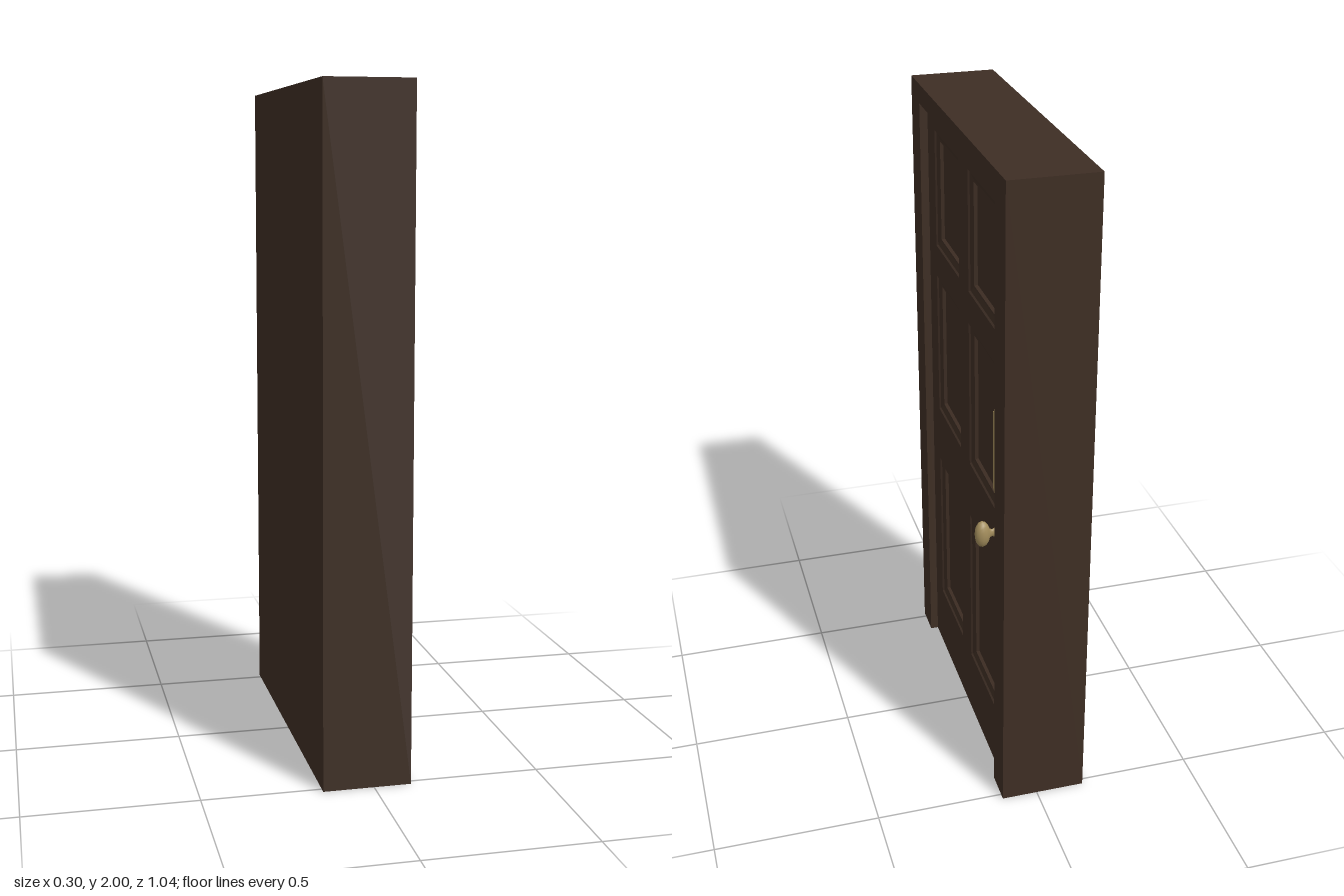
import * as THREE from 'three';

// Local frame while building: u across the door, v up, d outwards. The whole group then turns to face +x.
const FRONT = 0.11, BACK = -0.15, LEAF = 0.085;

const rect = (u0, v0, u1, v1, d) => [[u0, v0, d], [u1, v0, d], [u1, v1, d], [u0, v1, d]];

// Flat-shaded geometry from four-cornered faces
function quads(list) {
  const pos = [];
  for (const [a, b, c, d] of list) pos.push(...a, ...b, ...c, ...a, ...c, ...d);
  const g = new THREE.BufferGeometry();
  g.setAttribute('position', new THREE.Float32BufferAttribute(pos, 3));
  g.computeVertexNormals();
  return g;
}

// Band of faces between two rectangles; skipBottom leaves the lower side open
function band(outer, inner, skipBottom = false) {
  const out = [];
  for (let i = skipBottom ? 1 : 0; i < 4; i++) {
    const j = (i + 1) % 4;
    out.push([outer[i], outer[j], inner[j], inner[i]]);
  }
  return out;
}

const path = (points, Type = THREE.Path) => new Type(points.map(p => new THREE.Vector2(p[0], p[1])));

export function createModel() {
  const wood = new THREE.MeshStandardMaterial({ color: 0x3e2e24, side: THREE.DoubleSide });
  wood.name = 'dark brown wood';
  const brass = new THREE.MeshStandardMaterial({ color: 0xa38d5c, side: THREE.DoubleSide });
  brass.name = 'brass';

  const door = new THREE.Group();
  door.name = 'door';
  const add = (name, geometry, material) => {
    const mesh = new THREE.Mesh(geometry, material);
    mesh.name = name;
    door.add(mesh);
    return mesh;
  };

  // Hollow casing: two sides, top and back, open underneath
  const back = rect(-0.52, 0, 0.52, 2, BACK);
  add('casing', quads([
    ...band(back, rect(-0.52, 0, 0.52, 2, FRONT), true),
    [back[1], back[0], back[3], back[2]],
  ]), wood);

  // Frame face around the opening
  const frame = path([[-0.52, 0], [-0.42, 0], [-0.42, 1.94], [0.42, 1.94],
    [0.42, 0], [0.52, 0], [0.52, 2], [-0.52, 2]], THREE.Shape);
  add('frameFace', new THREE.ShapeGeometry(frame), wood).position.z = FRONT;

  // Walls of the opening, stepping back to the leaf
  add('frameReveal', quads(band(
    rect(-0.42, 0, 0.42, 1.94, FRONT), rect(-0.42, 0, 0.42, 1.94, LEAF), true)), wood);

  // Leaf with six openings, each filled by a stepped moulding and a sunken field
  const leaf = path(rect(-0.42, 0, 0.42, 1.94), THREE.Shape);
  const profile = [[0, 0], [0.004, -0.005], [0.022, -0.01], [0.028, -0.01], [0.031, -0.02]];
  const rows = [[0.217, 0.752], [0.94, 1.41], [1.512, 1.88]];
  for (const [v0, v1] of rows) {
    for (const u0 of [-0.334, 0.053]) {
      const u1 = u0 + 0.28;
      leaf.holes.push(path(rect(u0, v0, u1, v1)));
      const rings = profile.map(([inset, d]) =>
        rect(u0 + inset, v0 + inset, u1 - inset, v1 - inset, LEAF + d));
      const faces = [rings[rings.length - 1]];
      for (let i = 1; i < rings.length; i++) faces.push(...band(rings[i - 1], rings[i]));
      add('panel', quads(faces), wood);
    }
  }
  add('leaf', new THREE.ShapeGeometry(leaf), wood).position.z = LEAF;

  // Push plate with scooped corners
  const w = 0.035, h = 0.135, r = 0.01;
  const plate = new THREE.Shape();
  plate.moveTo(-w + r, -h);
  plate.lineTo(w - r, -h);
  plate.absarc(w, -h, r, Math.PI, Math.PI / 2, true);
  plate.lineTo(w, h - r);
  plate.absarc(w, h, r, -Math.PI / 2, -Math.PI, true);
  plate.lineTo(-w + r, h);
  plate.absarc(-w, h, r, 0, -Math.PI / 2, true);
  plate.lineTo(-w, -h + r);
  plate.absarc(-w, -h, r, Math.PI / 2, 0, true);
  const plateGeometry = new THREE.ExtrudeGeometry(plate, { depth: 0.005, bevelEnabled: false, curveSegments: 5 });
  add('pushPlate', plateGeometry, brass).position.set(0.369, 1.136, LEAF);

  // Oval knob on a flared stem, turned and then squeezed sideways
  const knobProfile = [[0.024, 0.085], [0.016, 0.09], [0.012, 0.098], [0.014, 0.106], [0.028, 0.111],
    [0.039, 0.119], [0.043, 0.129], [0.039, 0.139], [0.027, 0.147], [0.013, 0.15], [0, 0.151]];
  const knob = new THREE.LatheGeometry(knobProfile.map(p => new THREE.Vector2(...p)), 20);
  knob.rotateX(Math.PI / 2);
  knob.scale(0.49, 1, 1);
  add('knob', knob, brass).position.set(0.356, 0.873, 0);

  door.rotation.y = Math.PI / 2;
  const model = new THREE.Group();
  model.name = 'panelledDoor';
  model.add(door);
  return model;
}
